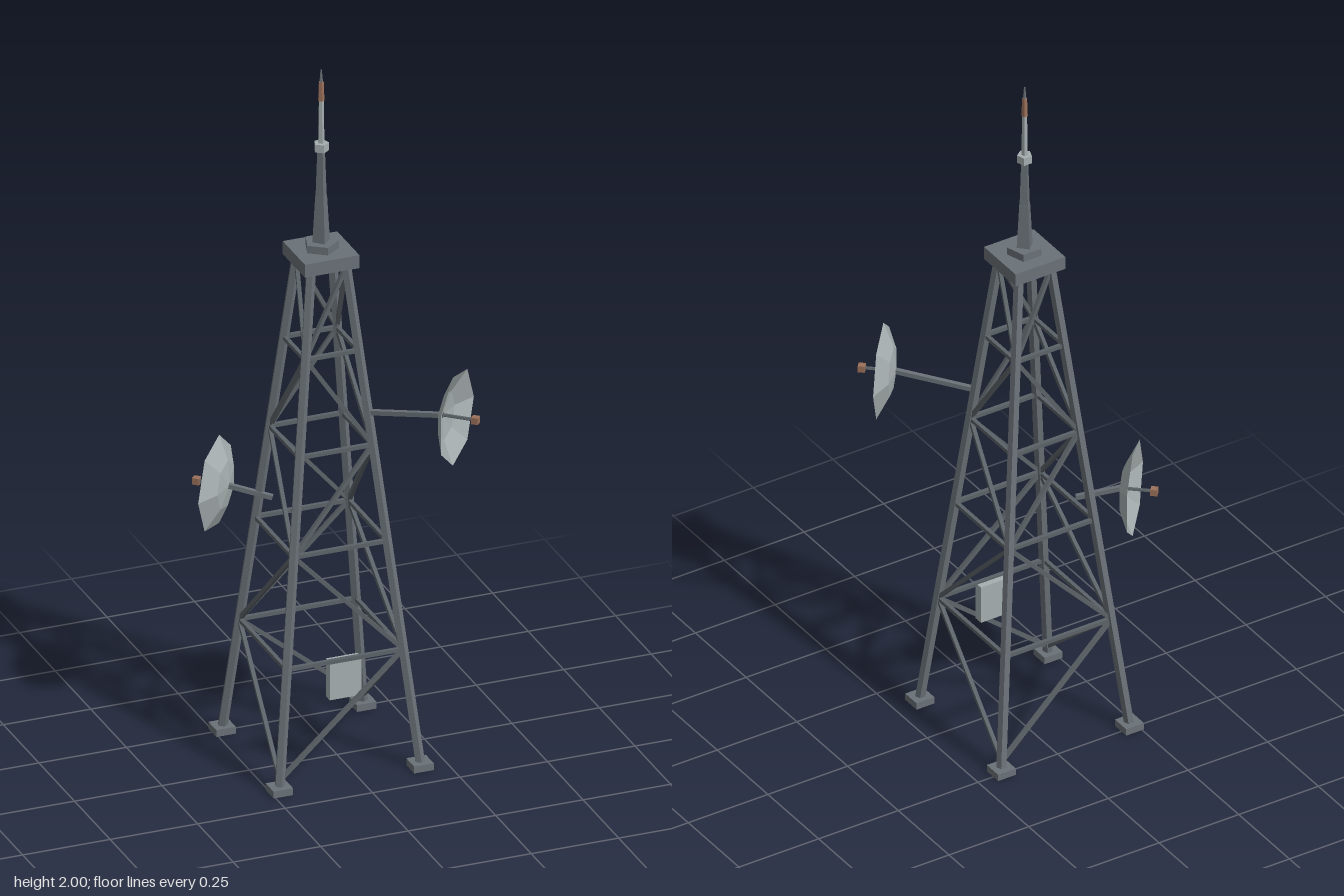
import * as THREE from 'three';

const mat = (name, color) => {
  const m = new THREE.MeshStandardMaterial({ color, flatShading: true });
  m.name = name;
  return m;
};

export function createModel() {
  const steel = mat('steel', 0x6a7177);
  const brace = mat('dark steel', 0x5c6368);
  const pale = mat('pale grey', 0xa6aeaf);
  const copper = mat('copper', 0x9b7059);
  pale.side = THREE.DoubleSide;

  const model = new THREE.Group();
  model.name = 'radioTower';
  const tower = new THREE.Group();
  tower.name = 'tower';
  tower.position.set(-0.027, 0, -0.045);
  model.add(tower);

  const V = (x, y, z) => new THREE.Vector3(x, y, z);
  const UP = V(0, 1, 0);

  function add(parent, name, geo, material, x = 0, y = 0, z = 0) {
    const m = new THREE.Mesh(geo, material);
    m.name = name;
    m.position.set(x, y, z);
    parent.add(m);
    return m;
  }
  // Five-sided rod between two points
  function rod(parent, name, a, b, r, material) {
    const d = b.clone().sub(a);
    const m = add(parent, name, new THREE.CylinderGeometry(r, r, d.length(), 5), material);
    m.position.copy(a).add(b).multiplyScalar(0.5);
    m.quaternion.setFromUnitVectors(UP, d.normalize());
  }
  // Square bar between two points, with its sides kept upright
  function bar(parent, name, a, b, t, material) {
    const d = b.clone().sub(a);
    const m = add(parent, name, new THREE.BoxGeometry(t, t, d.length()), material);
    m.position.copy(a).add(b).multiplyScalar(0.5);
    m.quaternion.setFromRotationMatrix(new THREE.Matrix4().lookAt(b, a, UP));
  }

  // Half width of the tapering frame at a height
  const half = (y) => 0.2 - 0.15 * (y - 0.02) / 1.42;
  const signs = [[1, 1], [1, -1], [-1, -1], [-1, 1]];
  const corner = (i, y) => V(signs[i % 4][0] * half(y), y, signs[i % 4][1] * half(y));

  // Legs, feet, cross bars and a single zigzag of diagonals on each side
  const levels = [0.035, 0.34, 0.65, 0.925, 1.195, 1.435];
  for (let i = 0; i < 4; i++) {
    const [sx, sz] = signs[i];
    add(tower, 'foot', new THREE.BoxGeometry(0.056, 0.02, 0.056), steel, sx * 0.201, 0.01, sz * 0.201);
    rod(tower, 'leg', corner(i, 0.01), corner(i, 1.445), 0.014, steel);
    for (let k = 0; k < levels.length - 1; k++) {
      const lo = levels[k], hi = levels[k + 1];
      const rising = (i + k) % 2;
      bar(tower, 'diagonalBrace', corner(i, rising ? lo : hi), corner(i + 1, rising ? hi : lo), 0.011, brace);
      if (k > 0) bar(tower, 'crossBar', corner(i, lo), corner(i + 1, lo), 0.011, brace);
    }
  }

  // Platform and stepped mast: [name, bottom y, top y, bottom radius, top radius, sides, material]
  add(tower, 'platform', new THREE.BoxGeometry(0.156, 0.038, 0.156), steel, 0, 1.456, 0);
  const mast = [
    ['mastBase', 1.475, 1.497, 0.048, 0.048, 5, steel],
    ['lowerMast', 1.497, 1.63, 0.025, 0.017, 4, steel],
    ['middleMast', 1.63, 1.765, 0.016, 0.011, 4, steel],
    ['collar', 1.763, 1.786, 0.021, 0.021, 5, pale],
    ['upperMast', 1.786, 1.91, 0.009, 0.007, 5, pale],
    ['beacon', 1.91, 1.965, 0.009, 0.007, 5, copper],
    ['mastTip', 1.965, 2.0, 0.005, 0.002, 5, steel],
  ];
  for (const [name, y0, y1, r0, r1, sides, m] of mast) {
    add(tower, name, new THREE.CylinderGeometry(r1, r0, y1 - y0, sides), m, 0, (y0 + y1) / 2, 0);
  }

  // Equipment cabinet on the front
  add(model, 'cabinet', new THREE.BoxGeometry(0.09, 0.112, 0.026), pale, -0.026, 0.284, 0.111);

  // Seven-sided dishes: group origin is the rim centre, +y points along the level dish axis
  function dish(name, rim, axis, mount) {
    const g = new THREE.Group();
    g.name = name;
    g.position.copy(rim);
    const yAxis = axis.clone().normalize();
    const xAxis = UP.clone().cross(yAxis).normalize();
    const zAxis = xAxis.clone().cross(yAxis);
    g.quaternion.setFromRotationMatrix(new THREE.Matrix4().makeBasis(xAxis, yAxis, zAxis));
    const profile = [[0, -0.04], [0.068, -0.03], [0.133, 0]].map(([r, y]) => new THREE.Vector2(r, y));
    add(g, 'reflector', new THREE.LatheGeometry(profile, 7, Math.PI / 2), pale);
    rod(g, 'feedStalk', V(0, -0.04, 0), V(0, 0.045, 0), 0.005, brace);
    add(g, 'feed', new THREE.BoxGeometry(0.019, 0.019, 0.019), copper, 0, 0.053, 0);
    model.add(g);
    bar(model, name + 'Arm', mount, rim.clone().addScaledVector(yAxis, -0.038), 0.013, steel);
  }
  dish('frontDish', V(0.251, 1.048, 0.224), V(0.74, 0, 0.67), V(0.068, 1.018, 0.05));
  dish('backDish', V(-0.254, 0.741, -0.23), V(-0.74, 0, -0.67), V(-0.125, 0.715, -0.145));

  return model;
}
